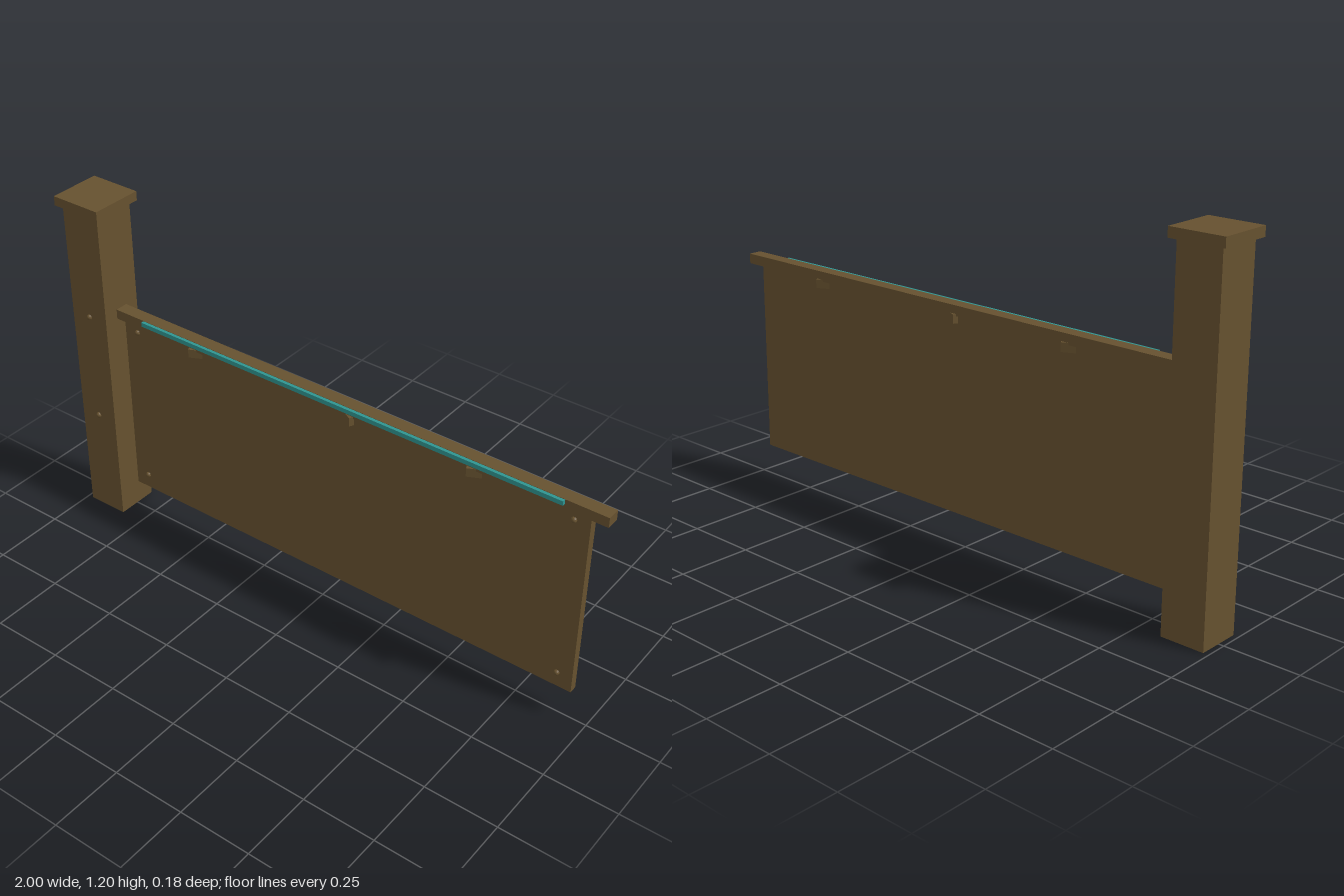
import * as THREE from 'three';

export function createModel() {
  const group = new THREE.Group();
  const wood = new THREE.MeshStandardMaterial({ color: 0x66512f, flatShading: true });
  const teal = new THREE.MeshStandardMaterial({ color: 0x2f9490, flatShading: true });

  // Box given by its minimum and maximum corners
  function box(name, [x0, y0, z0], [x1, y1, z1], material = wood) {
    const mesh = new THREE.Mesh(new THREE.BoxGeometry(x1 - x0, y1 - y0, z1 - z0), material);
    mesh.position.set((x0 + x1) / 2, (y0 + y1) / 2, (z0 + z1) / 2);
    mesh.name = name;
    group.add(mesh);
    return mesh;
  }

  // Post with a square cap
  box('post', [-0.982, 0, -0.075], [-0.834, 1.17, 0.075]);
  box('postCap', [-1, 1.168, -0.092], [-0.816, 1.2, 0.092]);

  // Panel hanging under the top rail, with a coloured strip along the rail front
  box('panel', [-0.806, 0.115, -0.014], [0.943, 0.776, 0.014]);
  box('topRail', [-0.84, 0.776, -0.024], [1, 0.81, 0.022]);
  box('railStrip', [-0.715, 0.794, 0.02], [0.86, 0.809, 0.033], teal);

  // Slanted clips passing through the panel just below the rail
  for (const [x, yaw] of [[-0.462, 0.44], [0.073, -0.44], [0.595, 0.44]]) {
    const clip = box('clip', [x - 0.062, 0.753, -0.0085], [x + 0.062, 0.783, 0.0085]);
    clip.rotation.y = yaw;
  }

  // Domed bolt heads on the post and at the panel corners
  const dome = new THREE.SphereGeometry(0.01, 10, 5, 0, Math.PI * 2, 0, Math.PI / 2).rotateX(Math.PI / 2);
  function bolt(name, x, y, z) {
    const mesh = new THREE.Mesh(dome, wood);
    mesh.position.set(x, y, z);
    mesh.name = name;
    group.add(mesh);
  }
  for (const y of [0.39, 0.78]) bolt('postBolt', -0.908, y, 0.075);
  for (const x of [-0.753, 0.89]) {
    for (const y of [0.168, 0.748]) bolt('panelBolt', x, y, 0.014);
  }
  return group;
}
